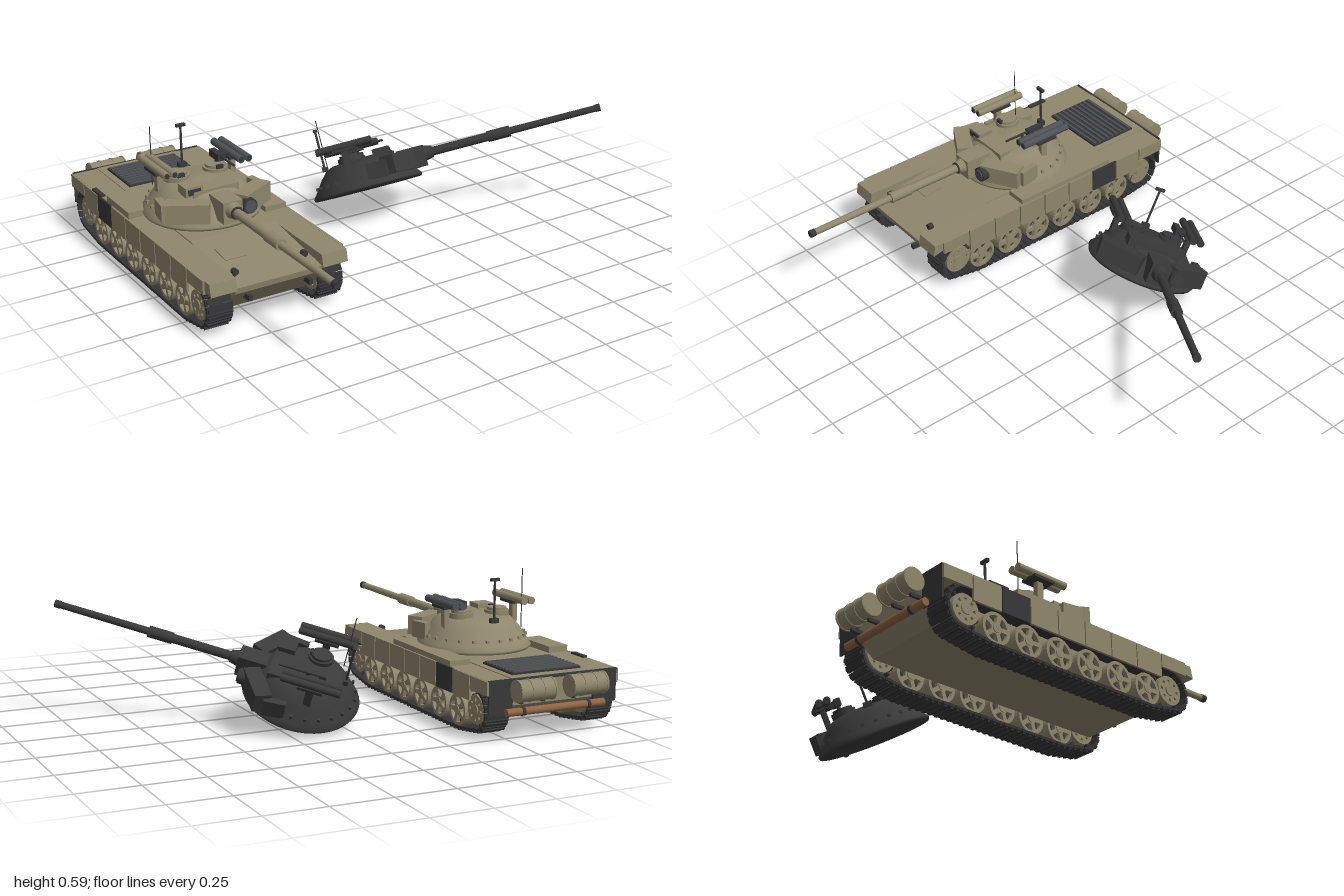
import * as THREE from 'three';
import { mergeGeometries } from 'three/addons/utils/BufferGeometryUtils.js';

const mat = (name, color, side = THREE.FrontSide) => {
  const m = new THREE.MeshStandardMaterial({ color, side });
  m.name = name;
  return m;
};

function add(parent, name, geo, material, x = 0, y = 0, z = 0) {
  const m = new THREE.Mesh(geo, material);
  m.name = name;
  m.position.set(x, y, z);
  parent.add(m);
  return m;
}
const box = (w, h, d) => new THREE.BoxGeometry(w, h, d);
const cylY = (r, h, n = 20, r2 = r) => new THREE.CylinderGeometry(r2, r, h, n);
const cylZ = (r, h, n = 16, r2 = r) => cylY(r, h, n, r2).rotateX(Math.PI / 2);
const cylX = (r, h, n = 24) => cylY(r, h, n).rotateZ(Math.PI / 2);

// Side profile of [z, y] points, extruded across x
function sideExtrude(points, width) {
  const s = new THREE.Shape(points.map(p => new THREE.Vector2(...p)));
  return new THREE.ExtrudeGeometry(s, { depth: width, bevelEnabled: false })
    .rotateY(-Math.PI / 2).translate(width / 2, 0, 0);
}

// Turret with its base at y = 0 and the gun along +z
function makeTurret(name, body, dark, grey) {
  const t = new THREE.Group();
  t.name = name;
  const profile = [[0, 0], [0.238, 0], [0.243, 0.012], [0.228, 0.03], [0.19, 0.085], [0.16, 0.118], [0.13, 0.132], [0, 0.142]];
  add(t, 'turretDome', new THREE.LatheGeometry(profile.map(p => new THREE.Vector2(...p)), 40), body);
  for (let i = 0; i < 13; i++) {
    const a = Math.PI * (1 + i / 12);
    add(t, 'rimBolt', box(0.012, 0.012, 0.012), body, 0.218 * Math.cos(a), 0.052, 0.218 * Math.sin(a));
  }
  // Gun with mantlet, evacuator and muzzle
  add(t, 'mantlet', box(0.085, 0.09, 0.12), body, 0, 0.08, 0.215);
  add(t, 'mantletCollar', cylZ(0.034, 0.03, 20, 0.026), body, 0, 0.088, 0.29);
  add(t, 'mantletRing', new THREE.TorusGeometry(0.022, 0.005, 8, 20), dark, 0, 0.088, 0.306);
  add(t, 'barrelSleeve', cylZ(0.019, 0.28), body, 0, 0.088, 0.42);
  add(t, 'boreEvacuator', cylZ(0.024, 0.1), body, 0, 0.088, 0.605);
  add(t, 'barrel', cylZ(0.016, 0.51, 16, 0.014), body, 0, 0.088, 0.78);
  add(t, 'muzzle', cylZ(0.016, 0.024), dark, 0, 0.088, 1.042);
  // Angled cheek armour
  for (const s of [-1, 1]) {
    const c = add(t, 'cheekArmour', box(0.175, 0.08, 0.07), body, s * 0.142, 0.075, 0.165);
    c.rotation.set(0, s * 0.52, 0);
    const w = add(t, 'sideArmour', box(0.03, 0.07, 0.09), body, s * 0.212, 0.066, 0.075);
    w.rotation.y = s * 0.15;
  }
  // Searchlight and gunner sight
  add(t, 'searchlight', cylZ(0.032, 0.05, 20), dark, 0.09, 0.075, 0.225);
  add(t, 'searchlightLens', cylZ(0.025, 0.006, 20), grey, 0.09, 0.075, 0.252);
  add(t, 'sightBox', box(0.075, 0.04, 0.07), body, -0.095, 0.137, 0.1);
  add(t, 'sightWindow', box(0.055, 0.024, 0.006), dark, -0.095, 0.137, 0.136);
  add(t, 'roofPlate', box(0.2, 0.03, 0.12), body, 0, 0.122, 0.08);
  // Hatches
  for (const s of [-1, 1]) {
    add(t, 'cupola', cylY(0.052, 0.022, 24), body, s * 0.087, 0.14, -0.04);
    add(t, 'hatch', cylY(0.042, 0.012, 24), body, s * 0.087, 0.156, -0.04);
    add(t, 'periscope', box(0.03, 0.016, 0.014), dark, s * 0.087, 0.158, 0.0);
  }
  // Paired launch tubes on stands
  for (const s of [-1, 1]) {
    const tubes = s < 0 ? body : grey;
    for (const dx of [0.148, 0.182]) {
      add(t, 'launchTube', cylZ(0.0155, 0.24), tubes, s * dx, 0.2, -0.045);
      add(t, 'tubeMouth', cylZ(0.011, 0.004), dark, s * dx, 0.2, 0.076);
    }
    add(t, 'tubeCradle', box(0.07, 0.012, 0.1), dark, s * 0.165, 0.184, -0.045);
    add(t, 'tubeStand', box(0.022, 0.11, 0.03), body, s * 0.165, 0.13, -0.045);
  }
  // Roof machine gun
  add(t, 'machineGunBody', box(0.026, 0.03, 0.08), dark, 0.1, 0.19, -0.05);
  add(t, 'machineGunBarrel', cylZ(0.005, 0.12, 8), dark, 0.1, 0.195, 0.045);
  add(t, 'machineGunMount', cylY(0.009, 0.05, 8), dark, 0.1, 0.165, -0.05);
  add(t, 'ammoBox', box(0.025, 0.025, 0.04), dark, 0.128, 0.188, -0.045);
  // Masts
  add(t, 'mastBase', box(0.035, 0.02, 0.02), dark, 0, 0.13, -0.165);
  add(t, 'mast', cylY(0.005, 0.18, 8), dark, 0, 0.215, -0.165);
  add(t, 'mastHead', box(0.04, 0.012, 0.014), dark, 0, 0.302, -0.165);
  add(t, 'whipAerial', cylY(0.002, 0.25, 6), dark, -0.15, 0.21, -0.135);
  return t;
}

// Endless track made of links that follow a closed path
function trackGeometry() {
  const path = new THREE.Path();
  path.moveTo(0.345, 0.195);
  path.absarc(0.345, 0.11, 0.085, Math.PI / 2, -Math.PI / 3, true);
  path.lineTo(0.24, 0.012);
  path.lineTo(-0.56, 0.012);
  path.absarc(-0.68, 0.11, 0.085, -2 * Math.PI / 3, -1.5 * Math.PI, true);
  path.lineTo(0.345, 0.195);
  const links = [], count = 84;
  for (let i = 0; i < count; i++) {
    const p = path.getPointAt(i / count), d = path.getTangentAt(i / count);
    for (const part of [box(0.11, 0.012, 0.027), box(0.1, 0.008, 0.012).translate(0, 0.009, 0)])
      links.push(part.rotateX(-Math.atan2(d.y, d.x)).translate(0, p.y, p.x));
  }
  return mergeGeometries(links);
}

// Pierced wheel disc with its axle along x
function wheelGeometry(r, holes, holeIn, holeOut, spread, width) {
  const s = new THREE.Shape();
  s.absarc(0, 0, r, 0, Math.PI * 2);
  for (let i = 0; i < holes; i++) {
    const a = Math.PI * 2 * i / holes, h = new THREE.Path();
    h.absarc(0, 0, holeOut, a - spread, a + spread, false);
    h.lineTo(holeIn * Math.cos(a + spread * 0.6), holeIn * Math.sin(a + spread * 0.6));
    h.lineTo(holeIn * Math.cos(a - spread * 0.6), holeIn * Math.sin(a - spread * 0.6));
    s.holes.push(h);
  }
  return new THREE.ExtrudeGeometry(s, { depth: width, bevelEnabled: false, curveSegments: 14 })
    .translate(0, 0, -width / 2).rotateY(Math.PI / 2);
}

export function createModel() {
  const olive = mat('olive paint', 0x8f876c), dark = mat('dark metal', 0x38383a), grey = mat('grey metal', 0x505156);
  const trackMat = mat('track steel', 0x343436), wood = mat('log brown', 0x8f6544), burnt = mat('burnt metal', 0x3a3a3a);
  const model = new THREE.Group();
  model.name = 'tankWithLooseTurret';
  const tank = new THREE.Group();
  tank.name = 'tank';
  tank.position.x = -0.69;
  model.add(tank);

  // Hull body
  add(tank, 'hull', sideExtrude([[0.1, 0.25], [0.465, 0.2], [0.46, 0.175], [0.38, 0.085], [-0.72, 0.085], [-0.785, 0.14], [-0.785, 0.25]], 0.375), olive);
  add(tank, 'turretRing', cylY(0.2, 0.02, 32), olive, 0, 0.25, -0.17);
  add(tank, 'driverHatch', box(0.09, 0.012, 0.09), olive, -0.085, 0.229, 0.235).rotation.x = 0.136;
  // Engine grille
  add(tank, 'engineGrille', box(0.315, 0.012, 0.225), dark, 0, 0.252, -0.63);
  for (let i = 0; i < 9; i++) add(tank, 'grilleSlat', box(0.305, 0.006, 0.01), grey, 0, 0.26, -0.73 + i * 0.025);

  const track = trackGeometry();
  const road = wheelGeometry(0.064, 5, 0.024, 0.051, 0.44, 0.094);
  const endWheel = wheelGeometry(0.06, 8, 0.034, 0.045, 0.16, 0.09);
  for (const s of [-1, 1]) {
    const x = s * 0.24;
    // Fender, skirts and flaps
    add(tank, 'fender', sideExtrude([[0.465, 0.245], [0.475, 0.195], [0.43, 0.205], [-0.785, 0.205], [-0.785, 0.247]], 0.11), olive, x);
    for (let i = 0; i < 9; i++) {
      const z = 0.36 - i * 0.136, low = i === 0 || i === 8 ? 0.19 : 0.145;
      add(tank, 'skirtPanel', box(0.01, 0.246 - low, 0.131), i === 6 ? dark : olive, s * 0.298, (0.246 + low) / 2, z);
    }
    add(tank, 'rearFlap', box(0.108, 0.13, 0.008), dark, x, 0.18, -0.79);
    // Running gear
    add(tank, 'track', track, trackMat, x);
    for (let i = 0; i < 6; i++) {
      const z = 0.22 - i * 0.152;
      add(tank, 'roadWheel', road, olive, x, 0.08, z);
      add(tank, 'wheelBacking', cylX(0.062, 0.06), dark, x, 0.08, z);
      add(tank, 'wheelHub', cylX(0.018, 0.102, 12), olive, x, 0.08, z);
    }
    for (const z of [0.345, -0.68]) {
      add(tank, 'endWheel', endWheel, olive, x, 0.11, z);
      add(tank, 'endWheelBacking', cylX(0.057, 0.06), dark, x, 0.11, z);
      add(tank, 'endWheelHub', cylX(0.022, 0.1, 12), olive, x, 0.11, z);
      for (let k = 0; k < 14; k++) {
        const a = k * Math.PI / 7;
        add(tank, 'sprocketTooth', box(0.05, 0.02, 0.01), dark, x, 0.11 + 0.066 * Math.cos(a), z + 0.066 * Math.sin(a)).rotation.x = a;
      }
    }
    // Headlights and tow hooks
    add(tank, 'headlight', cylZ(0.013, 0.022, 12), dark, s * 0.15, 0.232, 0.39);
    add(tank, 'headlightPost', box(0.01, 0.02, 0.01), dark, s * 0.15, 0.216, 0.385);
    add(tank, 'towHook', box(0.016, 0.022, 0.05), dark, s * 0.13, 0.15, 0.45);
    // Rear fuel drums
    add(tank, 'fuelDrum', cylX(0.043, 0.16), olive, s * 0.12, 0.21, -0.84);
    for (const dx of [-0.076, -0.027, 0.027, 0.076]) add(tank, 'drumBand', cylX(0.0455, 0.007), olive, s * 0.12 + dx, 0.21, -0.84);
    for (const dx of [-0.05, 0.05]) add(tank, 'drumBracket', box(0.012, 0.014, 0.05), dark, s * 0.12 + dx, 0.163, -0.81);
  }

  // Stowage boxes, exhaust, rear strip and log
  add(tank, 'leftStowage', box(0.095, 0.024, 0.49), olive, 0.247, 0.256, -0.245);
  add(tank, 'rightStowage', box(0.09, 0.03, 0.21), olive, -0.25, 0.258, -0.335);
  add(tank, 'exhaust', box(0.02, 0.03, 0.09), dark, -0.29, 0.24, -0.535);
  add(tank, 'rearStrip', box(0.59, 0.012, 0.008), dark, 0, 0.244, -0.791);
  add(tank, 'log', cylX(0.016, 0.45, 12), wood, 0, 0.12, -0.81);
  for (const x of [-0.15, 0.15]) add(tank, 'logStrap', cylX(0.018, 0.014, 12), dark, x, 0.12, -0.81);

  const turret = makeTurret('turret', olive, dark, grey);
  turret.position.set(0, 0.252, -0.17);
  tank.add(turret);

  // Loose burnt turret resting tilted beside the tank
  const loose = makeTurret('looseTurret', burnt, dark, burnt);
  const up = new THREE.Vector3(0, 0.883, -0.468).normalize();
  const right = new THREE.Vector3().crossVectors(up, new THREE.Vector3(0.822, 0.279, 0.496)).normalize();
  const forward = new THREE.Vector3().crossVectors(right, up);
  loose.quaternion.setFromRotationMatrix(new THREE.Matrix4().makeBasis(right, up, forward));
  loose.position.set(0.14, 0.125, -0.215);
  model.add(loose);
  return model;
}
